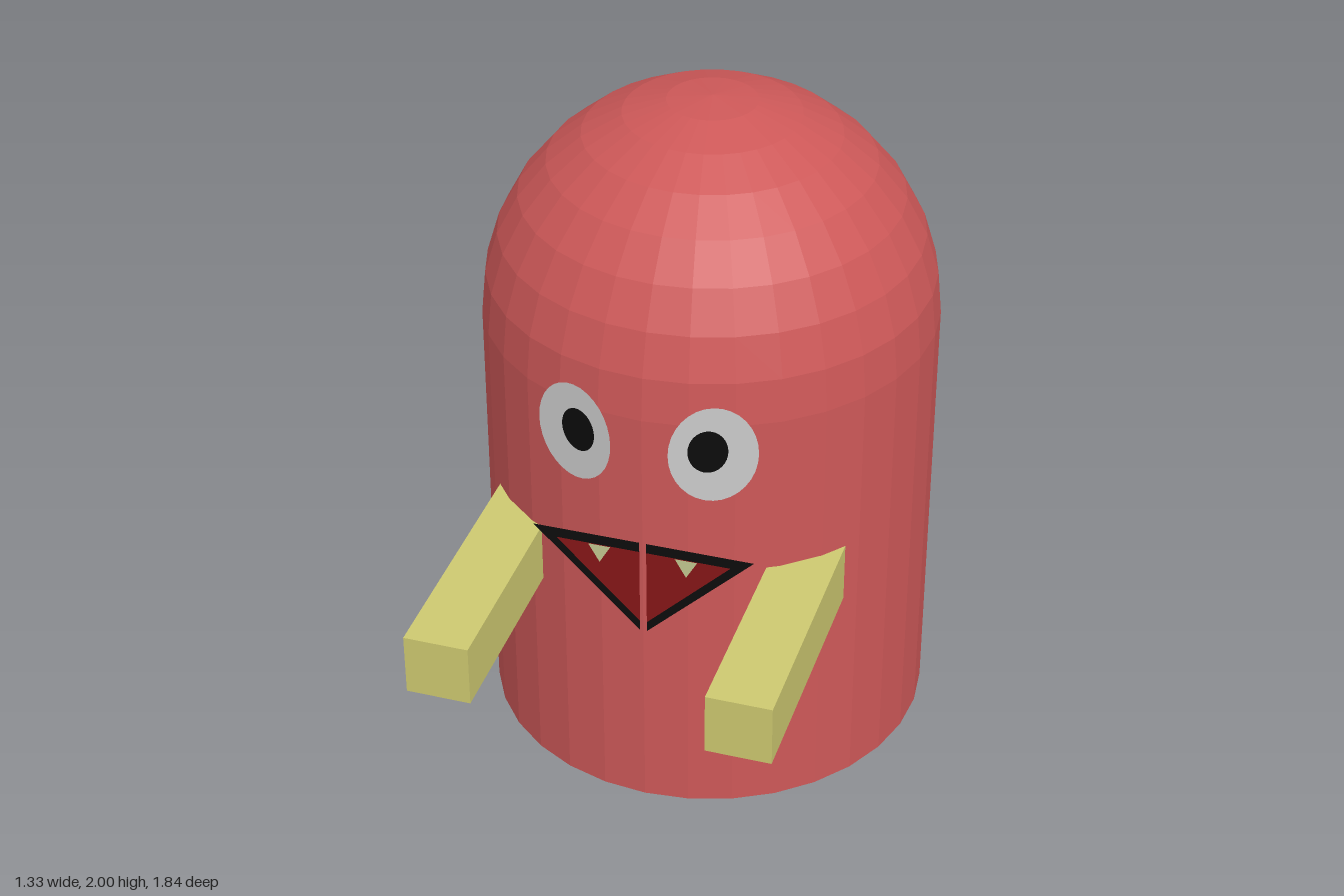
import * as THREE from 'three';

const BODY_R = 0.665, BODY_Z = -0.25, FACE_Z = 0.414;

const paint = (color) => new THREE.MeshStandardMaterial({ color, flatShading: true, side: THREE.DoubleSide });

function add(parent, name, geometry, material, x = 0, y = 0, z = 0) {
  const mesh = new THREE.Mesh(geometry, material);
  mesh.name = name;
  mesh.position.set(x, y, z);
  parent.add(mesh);
  return mesh;
}

// Flat polygon from [x, y] corners, with an optional hole
function flat(corners, hole) {
  const toPoints = (list) => list.map(([x, y]) => new THREE.Vector2(x, y));
  const shape = new THREE.Shape(toPoints(corners));
  if (hole) shape.holes.push(new THREE.Path(toPoints(hole)));
  return new THREE.ShapeGeometry(shape);
}

export function createModel() {
  const model = new THREE.Group();
  const red = paint(0xcd5858), straw = paint(0xcdc870), black = paint(0x0c0c0c);
  const white = paint(0xcccccc), darkRed = paint(0x861618), ivory = paint(0xc4c890);

  // Body: closed cylinder with a hemispherical dome, turned in one piece
  const profile = [new THREE.Vector2(0, 0), new THREE.Vector2(BODY_R, 0)];
  const rings = 8;
  for (let i = 0; i <= rings; i++) {
    const a = (i / rings) * Math.PI / 2;
    profile.push(new THREE.Vector2(i === rings ? 0 : BODY_R * Math.cos(a), 2 - BODY_R + BODY_R * Math.sin(a)));
  }
  add(model, 'body', new THREE.LatheGeometry(profile, 32), red, 0, 0, BODY_Z);

  // Mouth: dark triangle with a black rim and two teeth
  const mouth = new THREE.Group();
  mouth.name = 'mouth';
  mouth.position.z = FACE_Z;
  model.add(mouth);
  const inner = [[-0.257, 0.89], [0, 0.635], [0.257, 0.89]];
  add(mouth, 'mouthInside', flat(inner), darkRed);
  add(mouth, 'mouthRim', flat([[-0.325, 0.922], [0, 0.603], [0.325, 0.922]], inner), black);

  for (const side of [-1, 1]) {
    const label = side > 0 ? 'left' : 'right';

    add(mouth, label + 'Tooth', flat([[-0.033, 0.89], [0, 0.832], [0.033, 0.89]]), ivory, side * 0.128, 0, 0.003);

    // Eye: oval disc turned to follow the body, pupil set slightly inward
    const eye = new THREE.Group();
    eye.name = label + 'Eye';
    eye.position.set(side * 0.2, 1.252, 0.397);
    eye.rotation.y = side * 0.34;
    model.add(eye);
    add(eye, label + 'EyeWhite', new THREE.CircleGeometry(1, 32), white).scale.set(0.125, 0.153, 1);
    add(eye, label + 'Pupil', new THREE.CircleGeometry(1, 32), black, side * -0.015, 0.012, 0.003).scale.set(0.056, 0.068, 1);

    // Arm: straight square bar reaching forward out of the body
    add(model, label + 'Arm', new THREE.BoxGeometry(0.187, 0.185, 0.8), straw, side * 0.429, 0.753, 0.52);
  }
  return model;
}
